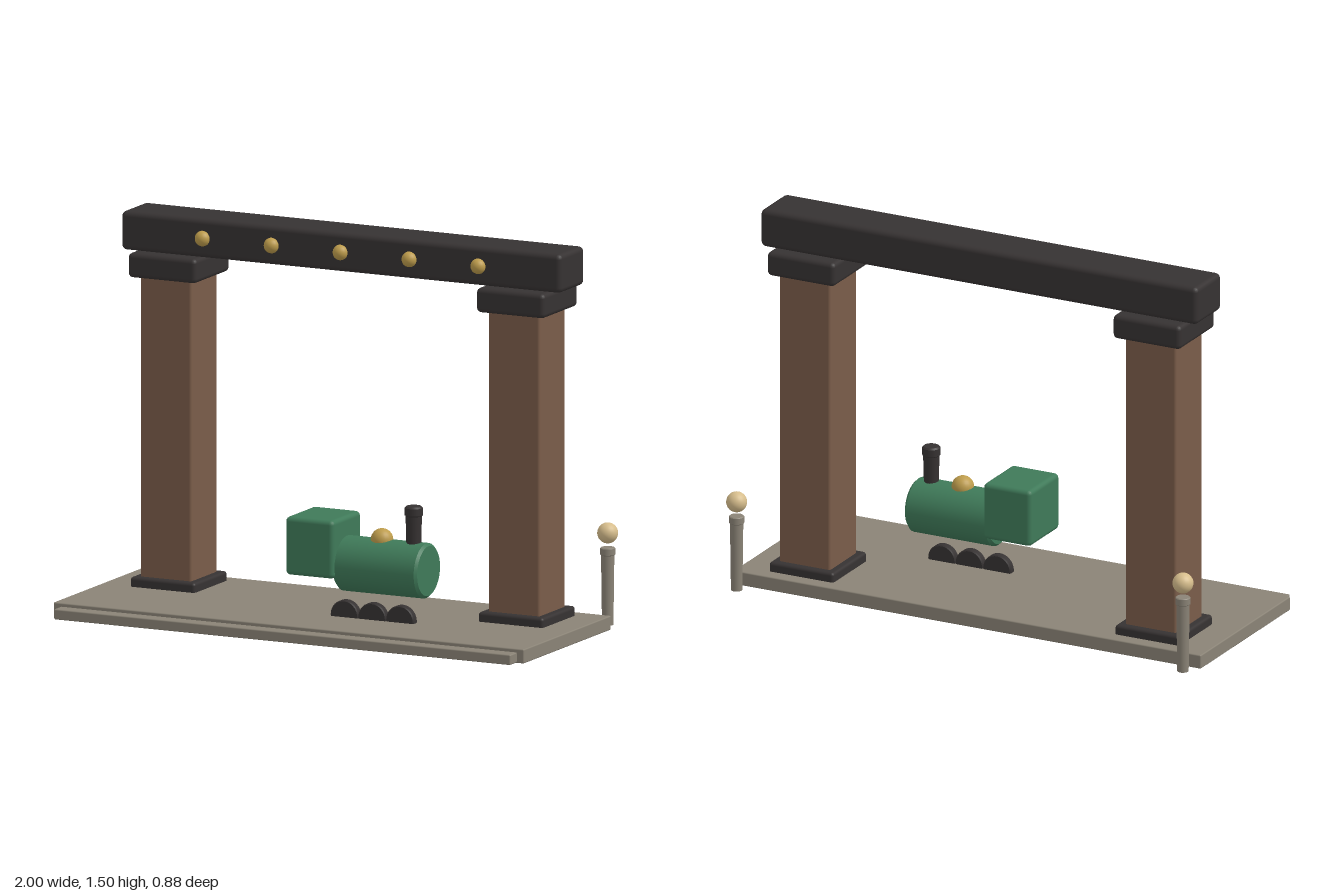
import * as THREE from 'three';
import { RoundedBoxGeometry } from 'three/addons/geometries/RoundedBoxGeometry.js';

const paint = (color) => new THREE.MeshStandardMaterial({ color });

export function createModel() {
  const model = new THREE.Group();
  const stone = paint(0x8a8376), brick = paint(0x7a5c49), iron = paint(0x363232);
  const green = paint(0x3f7a59), brass = paint(0xbd9c4c), cream = paint(0xd6bd8c);

  function add(parent, name, geometry, material, x = 0, y = 0, z = 0) {
    const mesh = new THREE.Mesh(geometry, material);
    mesh.name = name;
    mesh.position.set(x, y, z);
    parent.add(mesh);
    return mesh;
  }
  // Softened box given by its size and the height of its underside
  function block(parent, name, material, [w, h, d], [x, bottom, z], radius) {
    return add(parent, name, new RoundedBoxGeometry(w, h, d, 2, radius), material, x, bottom + h / 2, z);
  }
  // Solid disc or drum with a small bevel, axis along y, centred
  function drum(radius, length, bevel) {
    const h = length / 2, r = radius;
    const profile = [[0, -h], [r - bevel, -h], [r - bevel, -h], [r, -h + bevel], [r, -h + bevel],
      [r, h - bevel], [r, h - bevel], [r - bevel, h], [r - bevel, h], [0, h]];
    return new THREE.LatheGeometry(profile.map(([a, b]) => new THREE.Vector2(a, b)), 32);
  }

  // Platform with a low front step
  block(model, 'platform', stone, [2, 0.055, 0.73], [0, 0, 0.02], 0.005);
  block(model, 'frontStep', stone, [1.94, 0.04, 0.1], [0, 0.001, 0.39], 0.005);

  // Gateway: two pillars under a beam
  for (const side of [-1, 1]) {
    const pillar = new THREE.Group();
    pillar.name = side > 0 ? 'leftPillar' : 'rightPillar';
    pillar.position.set(side * 0.74, 0, -0.152);
    model.add(pillar);
    block(pillar, 'foot', iron, [0.276, 0.05, 0.276], [0, 0.042, 0], 0.012);
    block(pillar, 'shaft', brick, [0.218, 1.2, 0.218], [0, 0.06, 0], 0.01);
    block(pillar, 'capital', iron, [0.29, 0.095, 0.29], [0, 1.25, 0], 0.018);
  }
  block(model, 'beam', iron, [1.87, 0.15, 0.205], [0, 1.345, -0.152], 0.02);
  for (let i = -2; i <= 2; i++) {
    add(model, 'stud', new THREE.SphereGeometry(0.03, 20, 14), brass, i * 0.293, 1.421, -0.049);
  }

  // Lamp posts behind the rear corners
  for (const side of [-1, 1]) {
    const post = new THREE.Group();
    post.name = side > 0 ? 'leftLampPost' : 'rightLampPost';
    post.position.set(side * 0.955, 0, -0.405);
    model.add(post);
    add(post, 'stem', new THREE.CylinderGeometry(0.026, 0.022, 0.295, 20), stone, 0, 0.1525, 0);
    add(post, 'collar', drum(0.029, 0.03, 0.003), stone, 0, 0.289, 0);
    add(post, 'globe', new THREE.SphereGeometry(0.04, 24, 16), cream, 0, 0.36, 0);
  }

  // Small steam engine
  const engine = new THREE.Group();
  engine.name = 'engine';
  engine.position.z = 0.125;
  model.add(engine);
  block(engine, 'cab', green, [0.205, 0.225, 0.24], [0.015, 0.219, 0], 0.018);
  const boiler = add(engine, 'boiler', drum(0.106, 0.36, 0.01), green, 0.283, 0.263, 0);
  boiler.rotation.z = Math.PI / 2;
  add(engine, 'dome', new THREE.SphereGeometry(0.043, 24, 16), brass, 0.265, 0.367, 0);
  add(engine, 'chimney', new THREE.CylinderGeometry(0.032, 0.028, 0.15, 24), iron, 0.4, 0.425, 0);
  add(engine, 'chimneyRim', drum(0.035, 0.04, 0.006), iron, 0.4, 0.488, 0);
  // Wheels half sunk into the platform
  for (const x of [0.112, 0.23, 0.348]) {
    const wheel = add(engine, 'wheel', drum(0.059, 0.032, 0.004), iron, x, 0.061, 0);
    wheel.rotation.x = Math.PI / 2;
  }
  return model;
}
